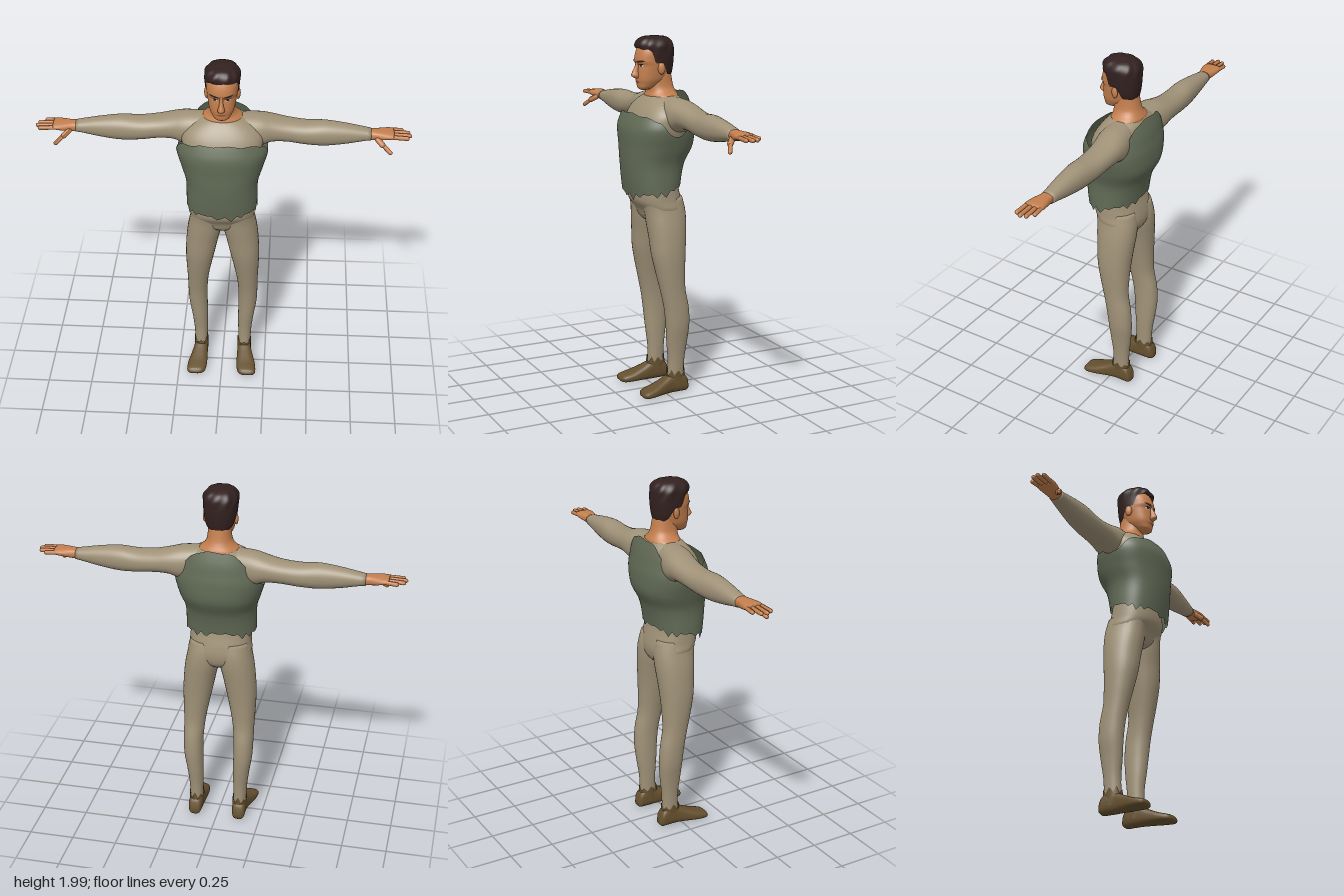
import * as THREE from 'three';
import { mergeGeometries } from 'three/addons/utils/BufferGeometryUtils.js';

const mat = (name, color, side = THREE.FrontSide) => {
  const m = new THREE.MeshStandardMaterial({ color, side });
  m.name = name;
  return m;
};

// Smooth interpolation of rows [s, a0, a1, b0, b1] at position s
function at(keys, s) {
  const n = keys.length;
  let i = 0;
  while (i < n - 2 && s > keys[i + 1][0]) i++;
  const k0 = keys[i], k1 = keys[i + 1], h = k1[0] - k0[0];
  const t = Math.min(1, Math.max(0, (s - k0[0]) / h));
  const slope = (j, c) => {
    const p = keys[Math.max(0, j - 1)], q = keys[Math.min(n - 1, j + 1)];
    return (q[c] - p[c]) / (q[0] - p[0]);
  };
  const t2 = t * t, t3 = t2 * t;
  return k0.map((v, c) => c === 0 ? s :
    (2 * t3 - 3 * t2 + 1) * v + (t3 - 2 * t2 + t) * h * slope(i, c) +
    (3 * t2 - 2 * t3) * k1[c] + (t3 - t2) * h * slope(i + 1, c));
}

// Closed-ring surface: fn(row 0..1, angle) gives a point [x, y, z]
function grid(rows, cols, fn, capped = false) {
  const pos = [], idx = [];
  for (let i = 0; i <= rows; i++)
    for (let j = 0; j < cols; j++) pos.push(...fn(i / rows, (j / cols) * Math.PI * 2));
  for (let i = 0; i < rows; i++)
    for (let j = 0; j < cols; j++) {
      const a = i * cols + j, b = i * cols + (j + 1) % cols;
      idx.push(a, a + cols, b, b, a + cols, b + cols);
    }
  if (capped) for (const end of [0, rows]) {
    const c = [0, 0, 0], base = end * cols, id = pos.length / 3;
    for (let j = 0; j < cols; j++) for (let k = 0; k < 3; k++) c[k] += pos[(base + j) * 3 + k] / cols;
    pos.push(...c);
    for (let j = 0; j < cols; j++) {
      const a = base + j, b = base + (j + 1) % cols;
      idx.push(id, ...(end ? [b, a] : [a, b]));
    }
  }
  const g = new THREE.BufferGeometry();
  g.setAttribute('position', new THREE.Float32BufferAttribute(pos, 3));
  g.setIndex(idx);
  g.computeVertexNormals();
  return g;
}

const pw = (v, p) => Math.sign(v) * Math.abs(v) ** p;
function ringPoint(keys, s, th, p) {
  const [, a0, a1, b0, b1] = at(keys, s);
  return [(a0 + a1) / 2 + (a1 - a0) / 2 * pw(Math.cos(th), p), (b0 + b1) / 2 + (b1 - b0) / 2 * pw(Math.sin(th), p)];
}
// Loft along an axis; rows are y:[y,x,x,z,z], x:[x,z,z,y,y], z:[z,y,y,x,x]
const place = { y: (s, a, b) => [a, s, b], x: (s, a, b) => [s, b, a], z: (s, a, b) => [b, a, s] };
function loft(keys, axis = 'y', p = 0.9, rows = 36, cols = 32) {
  const s0 = keys[0][0], s1 = keys[keys.length - 1][0];
  return grid(rows, cols, (v, th) => {
    const s = s0 + (s1 - s0) * v;
    return place[axis](s, ...ringPoint(keys, s, th, p));
  }, true);
}
// Open upright shell with lower and upper edges that vary round the body
function shell(keys, lo, hi, p, rows, cols, ripple = () => 1) {
  return grid(rows, cols, (v, th) => {
    const y = lo(th) + (hi(th) - lo(th)) * v, [x, z] = ringPoint(keys, y, th, p), r = ripple(th, y);
    return [x * r, y, z * r];
  });
}
const sym = rows => rows.map(([y, w, z0, z1]) => [y, -w, w, z0, z1]);
const tooth = (th, n) => Math.abs(((th * n / Math.PI) % 2) - 1);

function mirrored(g) {
  const m = g.clone().scale(-1, 1, 1), ix = m.index.array;
  for (let i = 0; i < ix.length; i += 3) [ix[i], ix[i + 1]] = [ix[i + 1], ix[i]];
  m.computeVertexNormals();
  return m;
}
function digit(a, b, r) {
  const A = new THREE.Vector3(...a), d = new THREE.Vector3(...b).sub(A), len = d.length();
  const g = new THREE.CapsuleGeometry(r, len - 2 * r, 5, 10).translate(0, len / 2, 0);
  g.applyQuaternion(new THREE.Quaternion().setFromUnitVectors(new THREE.Vector3(0, 1, 0), d.normalize()));
  g.deleteAttribute('uv');
  return g.translate(...a);
}

export function createModel() {
  const root = new THREE.Group();
  const skin = mat('skin', 0xc47f4e), cloth = mat('beige cloth', 0xa09278);
  const green = mat('green cloth', 0x626b56, THREE.DoubleSide), leather = mat('brown leather', 0x66512f, THREE.DoubleSide);
  const dark = mat('dark hair', 0x32211f, THREE.DoubleSide), white = mat('eye white', 0xcfc4b8);
  const lipMat = mat('lip', 0x9c5a3e);
  const add = (name, g, m) => {
    const mesh = new THREE.Mesh(g, m);
    mesh.name = name;
    root.add(mesh);
  };
  const pair = (name, g, m) => {
    add('left' + name, g, m);
    add('right' + name, mirrored(g), m);
  };

  // Body, sleeves and trouser legs
  add('body', loft(sym([[0.975, 0.05, -0.1, 0.05], [1.0, 0.11, -0.12, 0.08], [1.05, 0.172, -0.13, 0.1],
    [1.1, 0.17, -0.125, 0.133], [1.2, 0.165, -0.105, 0.135], [1.3, 0.165, -0.11, 0.14], [1.42, 0.19, -0.14, 0.145],
    [1.52, 0.215, -0.145, 0.14], [1.58, 0.215, -0.145, 0.118], [1.63, 0.175, -0.137, 0.085],
    [1.665, 0.115, -0.122, 0.052], [1.68, 0.075, -0.1, 0.03]]), 'y', 0.85, 48, 48), cloth);
  pair('Sleeve', loft([[0.08, -0.125, 0.04, 1.5, 1.672], [0.2, -0.145, 0.035, 1.49, 1.666], [0.26, -0.146, 0.02, 1.51, 1.652],
    [0.34, -0.14, 0.012, 1.512, 1.634], [0.44, -0.13, 0.012, 1.5, 1.625], [0.54, -0.12, 0.01, 1.495, 1.63],
    [0.65, -0.107, 0, 1.508, 1.618], [0.76, -0.094, -0.012, 1.53, 1.598], [0.785, -0.09, -0.014, 1.533, 1.593]], 'x'), cloth);
  pair('TrouserLeg', loft([[0.09, 0.092, 0.162, -0.11, -0.017], [0.2, 0.09, 0.168, -0.115, -0.018], [0.3, 0.089, 0.18, -0.128, -0.008],
    [0.4, 0.09, 0.195, -0.136, 0], [0.5, 0.089, 0.199, -0.13, 0.012], [0.6, 0.08, 0.2, -0.111, 0.032], [0.7, 0.062, 0.204, -0.11, 0.055],
    [0.8, 0.041, 0.206, -0.115, 0.075], [0.9, 0.02, 0.2, -0.124, 0.084], [0.98, 0.001, 0.19, -0.131, 0.093],
    [1.05, -0.005, 0.176, -0.13, 0.1], [1.12, 0, 0.163, -0.115, 0.115]], 'y', 0.92, 48), cloth);

  // Torn tunic with high back panel and ragged hem
  const tunicKeys = sym([[1.1, 0.192, -0.11, 0.16], [1.2, 0.192, -0.12, 0.175], [1.31, 0.195, -0.145, 0.186], [1.4, 0.222, -0.188, 0.188],
    [1.5, 0.247, -0.193, 0.188], [1.56, 0.235, -0.185, 0.168], [1.62, 0.215, -0.175, 0.14], [1.7, 0.19, -0.15, 0.11]]);
  const tunicTop = [[-1, 1.69], [-0.85, 1.665], [-0.6, 1.58], [-0.2, 1.485], [0.1, 1.49], [0.4, 1.55], [1, 1.588]];
  add('tunic', shell(tunicKeys,
    th => 1.17 - 0.025 * Math.sin(th) - 0.035 * tooth(th, 19) * (0.55 + 0.45 * Math.sin(th * 5 + 1)),
    th => at(tunicTop, Math.sin(th))[1] - 0.008 * tooth(th, 11), 0.88, 32, 152), green);

  // Shoes with ragged cuffs
  pair('Shoe', loft([[-0.136, 0.012, 0.045, 0.105, 0.15], [-0.125, 0.002, 0.085, 0.094, 0.163], [-0.09, 0, 0.115, 0.089, 0.166],
    [-0.03, 0, 0.108, 0.088, 0.168], [0.02, 0, 0.085, 0.087, 0.18], [0.08, 0, 0.06, 0.087, 0.196],
    [0.13, 0, 0.045, 0.095, 0.2], [0.148, 0.004, 0.038, 0.108, 0.194], [0.156, 0.012, 0.027, 0.125, 0.18]], 'z', 0.75), leather);
  pair('ShoeCuff', shell([[0.03, 0.088, 0.167, -0.125, 0], [0.09, 0.087, 0.166, -0.118, -0.008], [0.16, 0.086, 0.169, -0.118, -0.012]],
    () => 0.04, th => 0.105 + 0.04 * tooth(th, 8) * (0.75 + 0.25 * Math.sin(th * 3)), 0.9, 8, 64), leather);

  // Hands
  const hand = [loft([[0.765, -0.088, -0.016, 1.536, 1.592], [0.8, -0.086, -0.014, 1.538, 1.592], [0.84, -0.094, -0.003, 1.544, 1.592],
    [0.88, -0.1, 0.003, 1.552, 1.591], [0.905, -0.097, 0.001, 1.557, 1.588]], 'x', 0.8, 14, 20),
    digit([0.81, 1.56, -0.025], [0.855, 1.527, 0.018], 0.016), digit([0.84, 1.54, 0.004], [0.895, 1.495, 0.038], 0.0115)];
  [[-0.088, -0.093, 0.958], [-0.062, -0.065, 0.992], [-0.035, -0.035, 1], [-0.01, -0.006, 0.985]].forEach(([z0, z1, x]) =>
    hand.push(digit([0.88, 1.572, z0], [x, 1.568, z1], 0.0115)));
  pair('Hand', mergeGeometries(hand), skin);

  // Neck and head
  add('neck', loft(sym([[1.645, 0.115, -0.122, 0.05], [1.67, 0.105, -0.122, 0.05], [1.69, 0.082, -0.112, 0.044],
    [1.72, 0.066, -0.1, 0.046], [1.8, 0.06, -0.085, 0.05]]), 'y', 0.9, 20), skin);
  const headKeys = sym([[1.702, 0.022, 0.045, 0.088], [1.712, 0.04, 0.02, 0.1], [1.735, 0.056, -0.02, 0.104], [1.76, 0.067, -0.05, 0.109],
    [1.81, 0.076, -0.072, 0.107], [1.835, 0.08, -0.08, 0.105], [1.86, 0.082, -0.083, 0.115], [1.92, 0.08, -0.08, 0.099],
    [1.955, 0.055, -0.06, 0.07], [1.97, 0.02, -0.02, 0.02]]), headP = 0.87;
  add('head', loft(headKeys, 'y', headP, 48, 48), skin);
  add('nose', loft(sym([[1.764, 0.008, 0.09, 0.116], [1.772, 0.018, 0.09, 0.134], [1.782, 0.019, 0.09, 0.142], [1.8, 0.013, 0.09, 0.136],
    [1.83, 0.009, 0.085, 0.121], [1.862, 0.012, 0.08, 0.114]]), 'y', 1, 18, 16), skin);
  pair('Ear', new THREE.SphereGeometry(1, 14, 12).scale(0.011, 0.032, 0.02).rotateY(-0.3).translate(0.083, 1.82, 0.002), skin);

  // Hair: swept cap with sideburns
  const hairKeys = sym([[1.76, 0.06, -0.082, 0.08], [1.8, 0.078, -0.092, 0.09], [1.85, 0.087, -0.098, 0.1], [1.91, 0.092, -0.1, 0.104],
    [1.945, 0.092, -0.096, 0.108], [1.972, 0.074, -0.078, 0.092], [1.985, 0.048, -0.05, 0.062], [1.991, 0, 0, 0.002]]);
  const hairLine = [[-1, 1.775], [-0.4, 1.785], [-0.12, 1.835], [0.08, 1.845], [0.3, 1.85], [0.5, 1.905], [1, 1.922]];
  add('hair', shell(hairKeys, th => at(hairLine, Math.sin(th))[1] + 0.008 * tooth(th, 9), () => 1.991, 0.88, 30, 72,
    (th, y) => 1 + 0.03 * Math.sin(th * 9 + y * 40) * Math.min(1, Math.max(0, (y - 1.88) / 0.06))), dark);

  // Face details follow the head surface
  const faceZ = (x, y) => {
    const [, , w, z0, z1] = at(headKeys, y), c = Math.min(1, (Math.abs(x) / w) ** (1 / headP));
    return (z0 + z1) / 2 + (z1 - z0) / 2 * Math.sqrt(1 - c * c) ** headP;
  };
  const decal = (cx, cy, w, h, tilt, out) => grid(5, 24, (r, th) => {
    const u = Math.cos(th) * r * w, x = cx + u, y = cy + Math.sin(th) * r * h + u * tilt;
    return [x, y, faceZ(x, y) + out];
  });
  pair('Eye', decal(0.034, 1.834, 0.016, 0.0065, 0.05, 0.0015), white);
  pair('Iris', decal(0.034, 1.835, 0.0075, 0.0065, 0, 0.003), dark);
  pair('Eyelid', decal(0.034, 1.842, 0.019, 0.0028, 0.03, 0.003), dark);
  pair('Eyebrow', decal(0.037, 1.857, 0.025, 0.0055, 0.15, 0.003), dark);
  add('mouth', decal(0, 1.745, 0.024, 0.0055, 0, 0.002), lipMat);
  return root;
}
